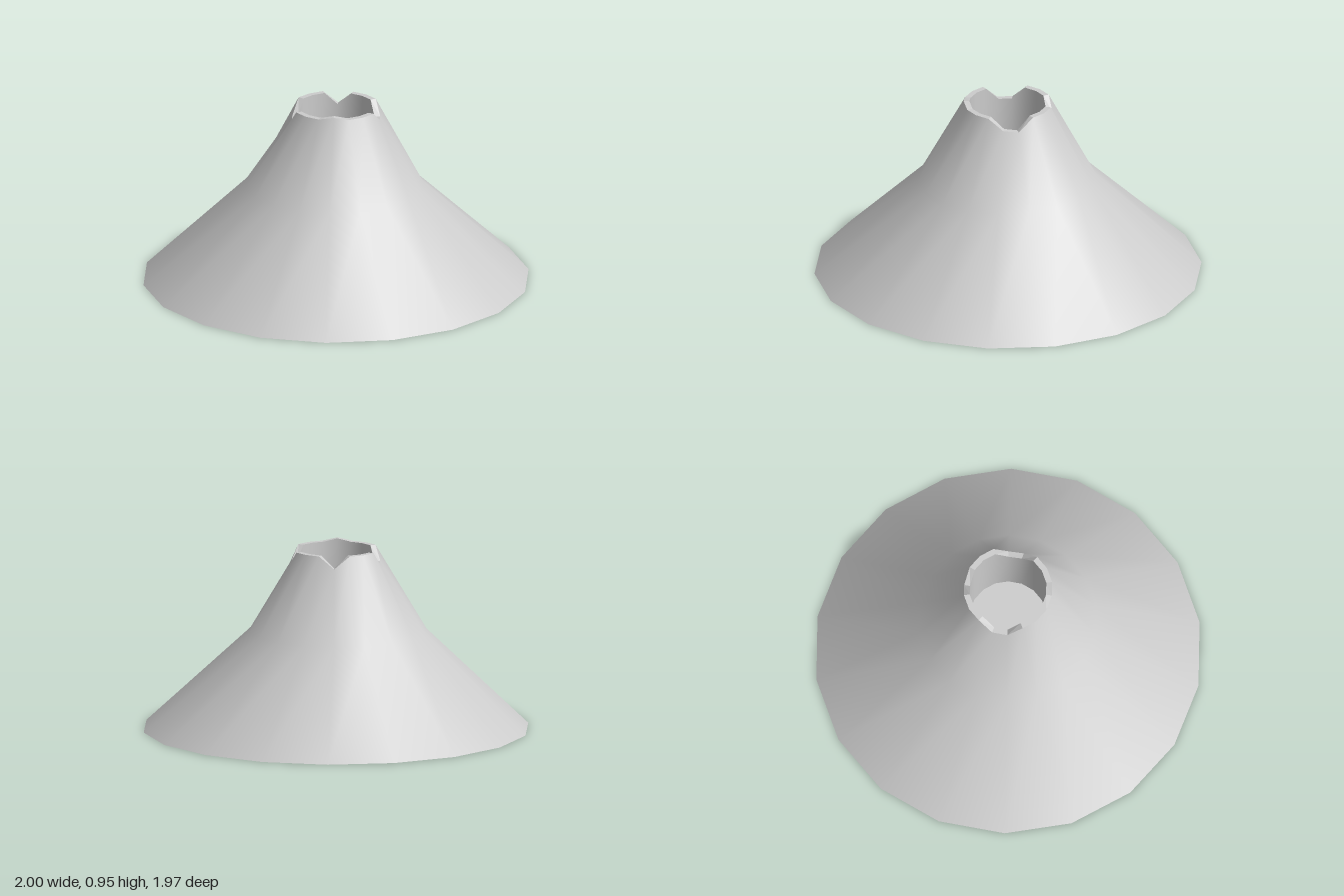
import * as THREE from 'three';

const SIDES = 18;

// Heights of the broken lip, one per side, counted from +x towards +z
const LIP = new Array(SIDES).fill(0.94);
LIP[0] = 0.87;
LIP[1] = 0.88;
LIP[5] = 0.955;
LIP[9] = 0.87;
LIP[10] = 0.87;
LIP[14] = 0.875;

// A ring of points; height is a number or a list with one value per side
function ring(radius, height, shiftX = 0) {
  return Array.from({ length: SIDES }, (_, k) => {
    const a = (k / SIDES) * Math.PI * 2;
    const y = Array.isArray(height) ? height[k] : height;
    return [radius * Math.cos(a) + shiftX, y, radius * Math.sin(a)];
  });
}

// Skin a list of rings with triangles
function loft(name, rings, flat = false) {
  const index = [];
  for (let r = 0; r < rings.length - 1; r++) {
    for (let k = 0; k < SIDES; k++) {
      const n = (k + 1) % SIDES;
      const a = r * SIDES + k, b = r * SIDES + n;
      const c = a + SIDES, d = b + SIDES;
      index.push(a, c, b, b, c, d);
    }
  }
  let geometry = new THREE.BufferGeometry();
  geometry.setAttribute('position', new THREE.Float32BufferAttribute(rings.flat(2), 3));
  geometry.setIndex(index);
  if (flat) geometry = geometry.toNonIndexed();
  geometry.computeVertexNormals();
  const material = new THREE.MeshStandardMaterial({ color: 0xcccccc, flatShading: flat });
  const mesh = new THREE.Mesh(geometry, material);
  mesh.name = name;
  return mesh;
}

// Flat disc facing up or down
function disc(name, radius, y, up) {
  const geometry = new THREE.CircleGeometry(radius, SIDES);
  geometry.rotateX(up ? -Math.PI / 2 : Math.PI / 2);
  geometry.translate(0, y, 0);
  const mesh = new THREE.Mesh(geometry, new THREE.MeshStandardMaterial({ color: 0xcccccc }));
  mesh.name = name;
  return mesh;
}

export function createModel() {
  const group = new THREE.Group();
  group.name = 'volcano';

  const floorY = 0.5;
  const outerLip = ring(0.23, LIP);
  const innerLip = ring(0.2, LIP);

  group.add(
    // Wide foot, steeper upper cone
    loft('slope', [ring(1, 0), ring(0.46, 0.51, -0.01), outerLip]),
    // Narrow jagged edge round the crater
    loft('craterRim', [outerLip, innerLip], true),
    // Shaft inside the crater
    loft('craterWall', [innerLip, ring(0.2, floorY)]),
    disc('craterFloor', 0.2, floorY, true),
    disc('base', 1, 0, false),
  );
  return group;
}
